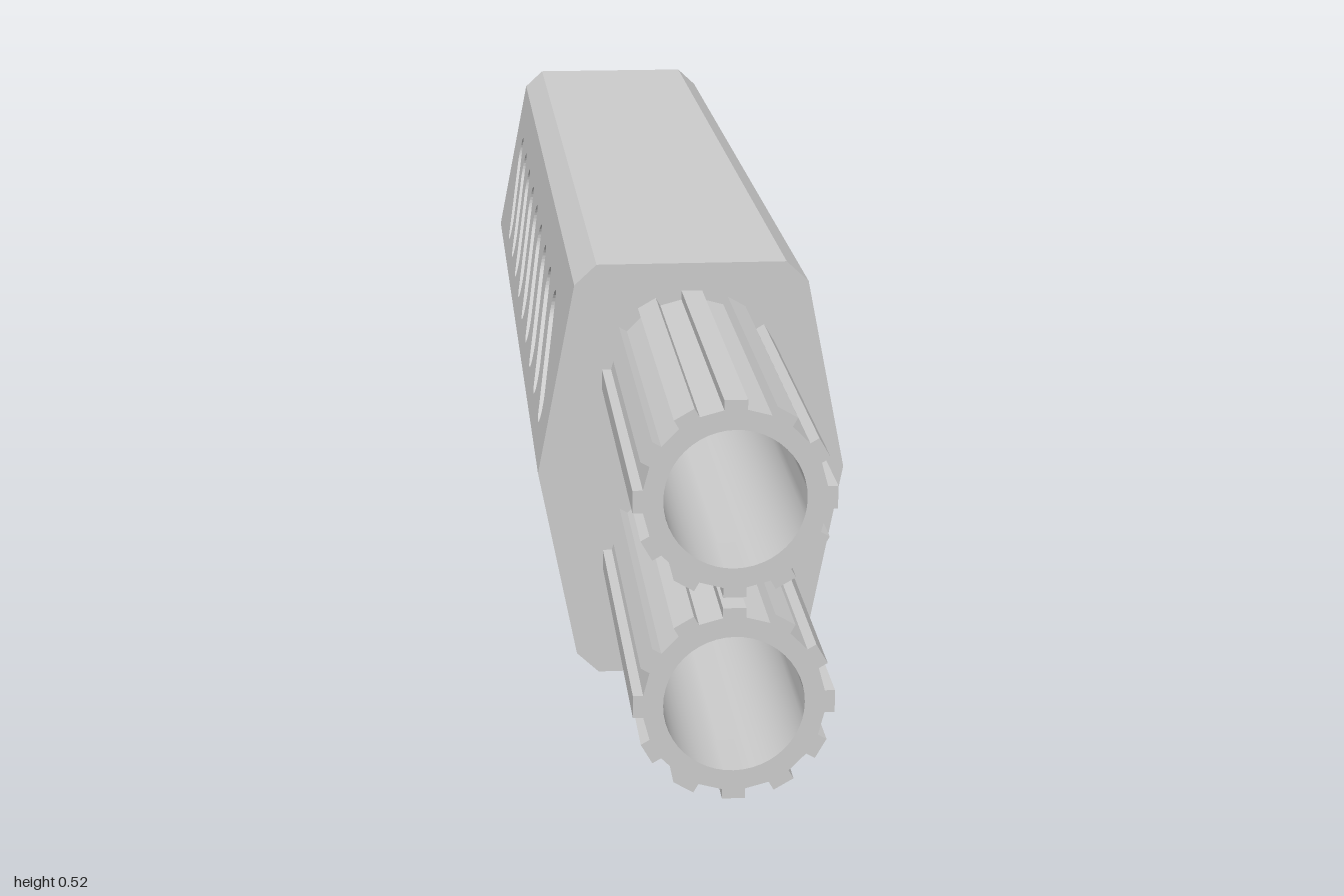
import * as THREE from 'three';
import { toCreasedNormals } from 'three/addons/utils/BufferGeometryUtils.js';

const material = new THREE.MeshStandardMaterial({ color: 0xcccccc });
const FRONT = 0.51, REAR = -0.94, MID = 0.26, WALL = 0.012, PLATE = 0.015;

// Half outlines (x, y), listed bottom to top on the +x side
const BODY = [[0.115, 0], [0.142, 0.025], [0.188, MID], [0.142, 0.495], [0.115, 0.52]];
const INSET = [[0.106, 0.01], [0.131, 0.032], [0.174, MID], [0.131, 0.488], [0.106, 0.51]];
const COLLAR = [[0.062, 0.03], [0.09, 0.063], [0.09, MID], [0.09, 0.465], [0.062, 0.497]];
const MOUTH = [[0.057, 0.042], [0.078, 0.068], [0.078, MID], [0.078, 0.46], [0.057, 0.485]];

const sideX = (y) => 0.188 - (0.046 * Math.abs(y - MID)) / 0.235;
const loop = (half) => [...half, ...[...half].reverse().map(([x, y]) => [-x, y])];
const shapeOf = (pts) => new THREE.Shape(pts.map(([x, y]) => new THREE.Vector2(x, y)));

function extrude(shape, depth, curveSegments = 8) {
  return new THREE.ExtrudeGeometry(shape, { depth, bevelEnabled: false, curveSegments });
}

function addMesh(parent, name, geometry) {
  const mesh = new THREE.Mesh(geometry, material);
  mesh.name = name;
  parent.add(mesh);
}

// Mirrors a non-indexed geometry across one axis, keeping faces outward
function mirrored(source, axis) {
  const geo = source.clone();
  const p = geo.attributes.position;
  const a = new THREE.Vector3(), b = new THREE.Vector3();
  geo.scale(axis === 'x' ? -1 : 1, axis === 'y' ? -1 : 1, 1);
  for (let i = 0; i < p.count; i += 3) {
    a.fromBufferAttribute(p, i + 1);
    b.fromBufferAttribute(p, i + 2);
    p.setXYZ(i + 1, b.x, b.y, b.z);
    p.setXYZ(i + 2, a.x, a.y, a.z);
  }
  geo.computeVertexNormals();
  return geo;
}

// Extrudes a (−z, y) shape and leans it onto the sloping side, `inset` below the skin
function onSide(shape, inset, depth) {
  const geo = extrude(shape, depth);
  const p = geo.attributes.position;
  for (let i = 0; i < p.count; i++) {
    const u = p.getX(i), y = p.getY(i), w = p.getZ(i);
    p.setXYZ(i, sideX(y) - inset - depth + w, y, -u);
  }
  geo.computeVertexNormals();
  return toCreasedNormals(geo, 0.5);
}

// Slanted capsule outline
function slot(i, grow = 0) {
  const u = -0.335 + i * 0.1335, v = 0.3625, c = 0.048, r = 0.025 + grow;
  const shape = new THREE.Shape();
  shape.absarc(u + c, v + c, r, -Math.PI / 4, Math.PI * 0.75, false);
  shape.absarc(u - c, v - c, r, Math.PI * 0.75, Math.PI * 1.75, false);
  shape.closePath();
  return shape;
}

// Rectangular vent outline
function vent(i, grow = 0) {
  const u = -0.433 + i * 0.161, v = 0.149, w = 0.0535 + grow, h = 0.029 + grow;
  return shapeOf([[u - w, v - h], [u + w, v - h], [u + w, v + h], [u - w, v + h]]);
}

// Closed skin made from matching outlines at successive depths
function loft(sections) {
  const n = sections[0][0].length * 2;
  const pos = [], index = [];
  for (const [half, z] of sections) loop(half).forEach(([x, y]) => pos.push(x, y, z));
  for (let s = 0; s < sections.length - 1; s++) {
    for (let i = 0; i < n; i++) {
      const a = s * n + i, a2 = s * n + ((i + 1) % n);
      index.push(a, a + n, a2, a + n, a2 + n, a2);
    }
  }
  let geo = new THREE.BufferGeometry();
  geo.setAttribute('position', new THREE.Float32BufferAttribute(pos, 3));
  geo.setIndex(index);
  geo = geo.toNonIndexed();
  geo.computeVertexNormals();
  return geo;
}

// Ribbed tube cross-section with a round bore
function barrelShape() {
  const pts = [];
  for (let i = 0; i < 12; i++) {
    const a = (i * Math.PI) / 6, c = Math.cos(a), s = Math.sin(a);
    for (const [r, t] of [[0.098, -0.0125], [0.109, -0.0125], [0.109, 0.0125], [0.098, 0.0125]]) {
      pts.push([r * c - t * s, r * s + t * c]);
    }
  }
  const shape = shapeOf(pts);
  shape.holes.push(new THREE.Path().absarc(0, 0, 0.0765, 0, Math.PI * 2, true));
  return shape;
}

export function createModel() {
  const model = new THREE.Group();
  model.name = 'model';

  // Hollow body: perforated sides with closed pockets behind each opening
  const body = new THREE.Group();
  body.name = 'body';
  model.add(body);
  const addBoth = (name, geo) => {
    addMesh(body, name + 'Left', geo);
    addMesh(body, name + 'Right', mirrored(geo, 'x'));
  };
  const u0 = -(FRONT - PLATE), u1 = -REAR;
  const rows = [
    { name: 'slot', outline: slot, y0: MID, y1: 0.495, depth: 0.055 },
    { name: 'vent', outline: vent, y0: 0.025, y1: MID, depth: 0.03 },
  ];
  for (const { name, outline, y0, y1, depth } of rows) {
    const panel = shapeOf([[u0, y0], [u1, y0], [u1, y1], [u0, y1]]);
    for (let i = 0; i < 9; i++) {
      panel.holes.push(outline(i));
      const rim = outline(i, 0.005);
      rim.holes.push(outline(i));
      addBoth(name + 'PocketWall', onSide(rim, WALL, depth - WALL));
      addBoth(name + 'PocketFloor', onSide(outline(i, 0.005), depth, 0.005));
    }
    addBoth(name + 'Panel', onSide(panel, 0, WALL));
  }

  // Roof and floor with chamfered corners
  const cap = extrude(shapeOf([
    [0.142, 0.495], [0.115, 0.52], [-0.115, 0.52], [-0.142, 0.495],
    [-0.13, 0.495], [-0.111, 0.508], [0.111, 0.508], [0.13, 0.495],
  ]), FRONT - PLATE - REAR).translate(0, 0, REAR);
  addMesh(body, 'roof', cap);
  addMesh(body, 'floor', mirrored(cap, 'y').translate(0, 0.52, 0));
  addMesh(body, 'frontPlate', extrude(shapeOf(loop(BODY)), PLATE).translate(0, 0, FRONT - PLATE));

  // Bevelled rear edge and open collar
  addMesh(body, 'rearCollar', loft([
    [BODY, REAR], [INSET, -0.953], [COLLAR, -0.953], [COLLAR, -1],
    [MOUTH, -1], [MOUTH, REAR], [BODY, REAR],
  ]));

  // Twin ribbed barrels
  const barrel = toCreasedNormals(extrude(barrelShape(), 1 - FRONT, 24), 0.5);
  for (const [name, y] of [['upperBarrel', 0.377], ['lowerBarrel', 0.147]]) {
    addMesh(model, name, barrel.clone().translate(0, y, FRONT));
  }
  return model;
}
